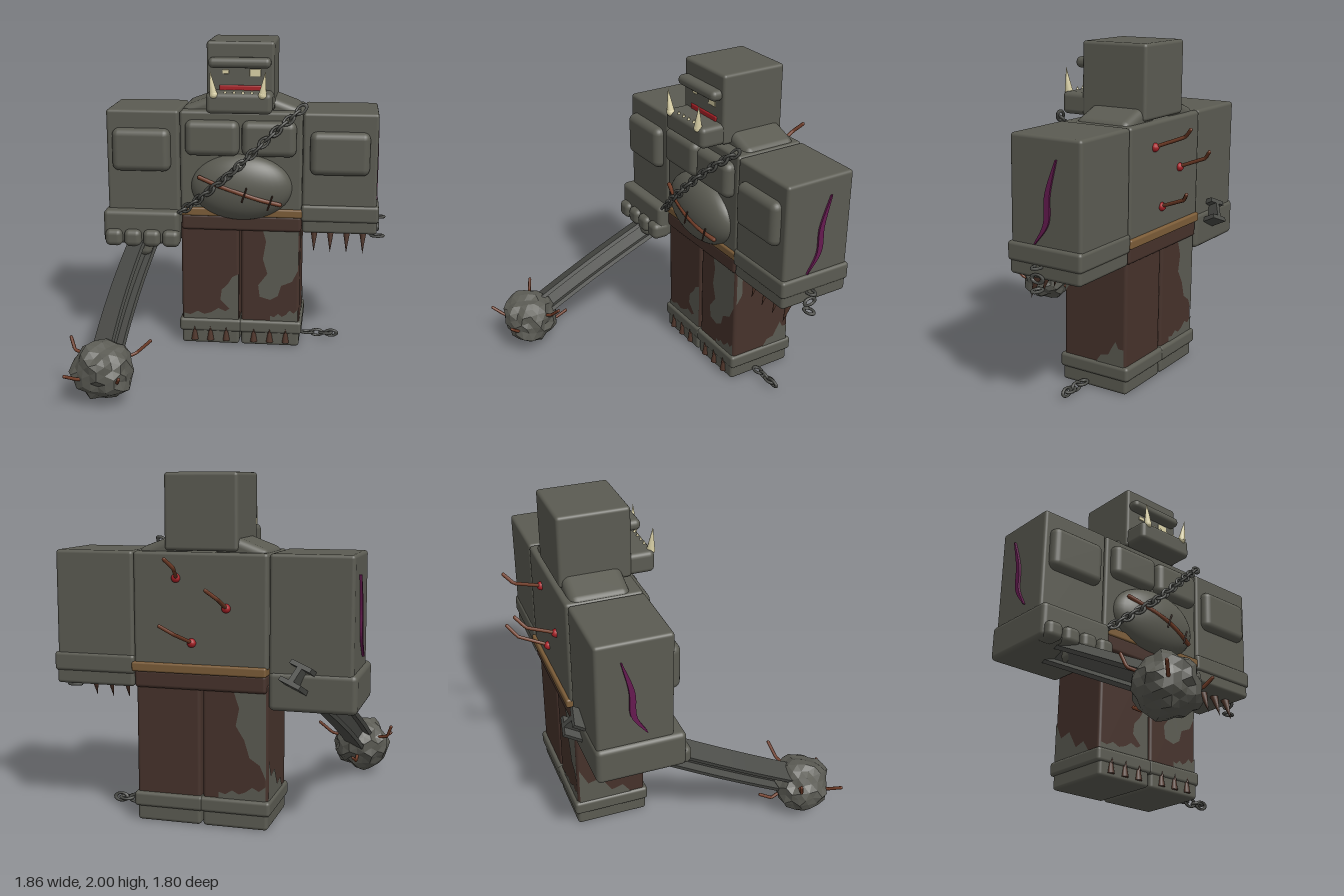
import * as THREE from 'three';
import { RoundedBoxGeometry } from 'three/addons/geometries/RoundedBoxGeometry.js';

const mat = (name, color, side = THREE.FrontSide) => {
  const m = new THREE.MeshStandardMaterial({ color, side });
  m.name = name;
  return m;
};

export function createModel() {
  const root = new THREE.Group();
  root.name = 'brute';
  const skin = mat('grey skin', 0x5b5b52), trousers = mat('dark brown cloth', 0x46322b);
  const rust = mat('rusty iron', 0x6f3b26), gold = mat('tan leather', 0x7b5c38);
  const purple = mat('purple scar', 0x651a50), red = mat('red flesh', 0xa82026);
  const bone = mat('bone', 0xd9d0a6), iron = mat('dark iron', 0x4b4c48);
  const claw = mat('claw brown', 0x4d3328), stone = mat('stone', 0x5a5a53);

  const V = (x, y, z) => new THREE.Vector3(x, y, z);
  const add = (name, geo, m, pos = [0, 0, 0], rot = [0, 0, 0], parent = root) => {
    const mesh = new THREE.Mesh(geo, m);
    mesh.name = name;
    mesh.position.set(...pos);
    mesh.rotation.set(...rot);
    parent.add(mesh);
    return mesh;
  };
  // rounded box given by its extents
  const box = (name, m, x0, x1, y0, y1, z0, z1, r = 0.02) =>
    add(name, new RoundedBoxGeometry(x1 - x0, y1 - y0, z1 - z0, 3, r), m,
      [(x0 + x1) / 2, (y0 + y1) / 2, (z0 + z1) / 2]);
  // bent rod through points
  const rod = (name, pts, r, m = rust) => {
    const path = new THREE.CurvePath();
    for (let i = 1; i < pts.length; i++) path.add(new THREE.LineCurve3(V(...pts[i - 1]), V(...pts[i])));
    add(name, new THREE.TubeGeometry(path, 12, r, 8), m);
    for (const p of [pts[0], pts[pts.length - 1]]) add(name + 'End', new THREE.SphereGeometry(r, 8, 6), m, p);
  };
  // cone from base to tip
  const spike = (name, m, base, tip, r) => {
    const a = V(...base), b = V(...tip), d = b.clone().sub(a);
    const s = add(name, new THREE.ConeGeometry(r, d.length(), 10), m, a.clone().add(b).multiplyScalar(0.5).toArray());
    s.quaternion.setFromUnitVectors(V(0, 1, 0), d.normalize());
  };
  // thin flat patch, drawn in its own plane
  const patch = (name, m, pts, pos, turn = 0) =>
    add(name, new THREE.ShapeGeometry(new THREE.Shape(pts.map(p => new THREE.Vector2(...p)))), m, pos, [0, turn, 0]);
  // oval chain link, long along its local x
  const linkGeo = new THREE.TorusGeometry(0.026, 0.009, 7, 14).scale(1.45, 0.9, 1);

  // head
  box('head', skin, -0.21, 0.215, 1.57, 2.0, -0.645, -0.22);
  box('brow', skin, -0.195, 0.195, 1.84, 1.905, -0.24, -0.155, 0.03);
  box('jaw', skin, -0.2, 0.21, 1.57, 1.7, -0.3, -0.075, 0.03);
  box('mouth', red, -0.13, 0.145, 1.685, 1.73, -0.24, -0.212, 0.008);
  box('rightEye', bone, -0.11, -0.07, 1.8, 1.825, -0.23, -0.213, 0.004);
  box('leftEye', bone, 0.06, 0.13, 1.785, 1.832, -0.23, -0.213, 0.004);
  for (const s of [-1, 1]) {
    add('tuskRoot', new THREE.SphereGeometry(0.026, 12, 8), bone, [s * 0.15, 1.69, -0.085]);
    spike('tusk', bone, [s * 0.15, 1.685, -0.085], [s * 0.17, 1.84, -0.078], 0.026);
  }
  for (const x of [-0.08, -0.025, 0.03, 0.085]) spike('tooth', bone, [x, 1.69, -0.1], [x, 1.72, -0.1], 0.013);

  // torso
  box('torso', skin, -0.385, 0.395, 0.92, 1.565, -0.665, -0.21);
  for (const s of [-1, 1]) {
    add('shoulderMuscle', new RoundedBoxGeometry(0.3, 0.14, 0.35, 3, 0.045), skin,
      [s * 0.225, 1.56, -0.455], [0, 0, -s * 0.36]);
    const c = s * 0.18 + 0.005;
    box('chestMuscle', skin, c - 0.172, c + 0.172, 1.285, 1.51, -0.26, -0.15, 0.045);
  }
  add('belly', new THREE.SphereGeometry(1, 36, 24).scale(0.325, 0.215, 0.13), skin, [0.01, 1.08, -0.22]);
  box('belt', gold, -0.38, 0.405, 0.885, 0.94, -0.685, -0.195, 0.012);
  box('waistband', trousers, -0.378, 0.395, 0.79, 0.895, -0.665, -0.2);

  // belly wound with stitches
  rod('bellyWound', [[-0.25, 1.155, -0.135], [-0.12, 1.108, -0.103], [0.02, 1.065, -0.09], [0.15, 1.02, -0.106], [0.26, 0.987, -0.14]], 0.014);
  for (const [x, y, z] of [[0.04, 1.06, -0.077], [0.2, 1.005, -0.105]])
    rod('stitch', [[x - 0.015, y - 0.045, z], [x + 0.015, y + 0.045, z]], 0.005, claw);

  // chain across the chest
  const sash = new THREE.CatmullRomCurve3([V(0.385, 1.59, -0.19), V(0.2, 1.43, -0.125),
    V(-0.02, 1.22, -0.085), V(-0.2, 1.06, -0.115), V(-0.375, 0.915, -0.18)]);
  for (let i = 0; i <= 20; i++) {
    const l = add('chainLink', linkGeo, iron, sash.getPointAt(i / 20).toArray());
    l.quaternion.setFromUnitVectors(V(1, 0, 0), sash.getTangentAt(i / 20));
    l.rotateX(i % 2 ? 1.15 : -0.35);
  }

  // nails in the back
  for (const [x, y, x1, x2] of [[0.14, 1.42, 0.095, 0.13], [-0.15, 1.26, -0.15, -0.1], [0.05, 1.06, 0.095, 0.16]]) {
    rod('backNail', [[x, y, -0.66], [x1, y + 0.07, -0.835], [x2, y + 0.12, -0.885]], 0.011);
    add('woundSpot', new THREE.SphereGeometry(0.026, 12, 8), red, [x, y, -0.667]);
  }

  // arms
  box('leftArm', skin, 0.397, 0.867, 0.9, 1.565, -0.665, -0.205);
  box('leftCuff', skin, 0.393, 0.885, 0.865, 0.975, -0.675, -0.19);
  box('leftHand', skin, 0.4, 0.875, 0.79, 0.885, -0.665, -0.2);
  box('rightArm', skin, -0.857, -0.39, 0.78, 1.565, -0.655, -0.21);
  box('rightFist', skin, -0.88, -0.387, 0.7, 0.92, -0.665, -0.14, 0.03);
  box('rightThumb', skin, -0.67, -0.57, 0.62, 0.74, -0.26, -0.14, 0.04);
  for (let i = 0; i < 4; i++) {
    const x = -0.81 + i * 0.124, c = 0.475 + i * 0.105;
    box('finger', skin, x - 0.056, x + 0.056, 0.69, 0.8, -0.23, -0.1, 0.035);
    spike('handClaw', claw, [c, 0.8, -0.335], [c, 0.64, -0.28], 0.029);
  }
  for (const s of [-1, 1]) {
    const c = s * 0.63;
    box('armPlate', skin, c - 0.187, c + 0.187, 1.175, 1.45, -0.27, -0.152, 0.045);
    // wavy tapered scar on the outer arm
    const line = new THREE.CatmullRomCurve3([V(-0.37, 0.98, 0), V(-0.445, 1.1, 0), V(-0.455, 1.26, 0), V(-0.51, 1.45, 0)]).getPoints(20);
    const side = k => line.map((p, i) => new THREE.Vector2(-s * (p.x + k * (0.004 + 0.014 * Math.sin(Math.PI * i / 20))), p.y));
    const shape = new THREE.Shape([...side(1), ...side(-1).reverse()]);
    const scar = new THREE.ExtrudeGeometry(shape, { depth: 0.016, bevelEnabled: false });
    add('armScar', scar, purple, [s > 0 ? 0.862 : -0.855, 0, 0], [0, s * Math.PI / 2, 0]);
  }

  // legs, ankle bands and feet
  for (const [n, a, b] of [['right', -0.385, -0.005], ['left', 0.008, 0.39]]) {
    box(n + 'Leg', trousers, a, b, 0.1, 0.84, -0.645, -0.22);
    box(n + 'AnkleBand', skin, a - 0.016, b + 0.016, 0.088, 0.175, -0.667, -0.2);
    box(n + 'Foot', skin, a, b, 0.003, 0.13, -0.65, -0.208);
    for (const t of [0.085, 0.19, 0.295]) {
      add('toeClaw', new THREE.CylinderGeometry(0.012, 0.024, 0.065, 10), claw, [a + t, 0.062, -0.208]);
      spike('toeClawTip', claw, [a + t, 0.09, -0.199], [a + t, 0.125, -0.197], 0.009);
    }
  }

  // torn holes in the trousers
  const F = -0.216, B = -0.649;
  const hem = (x0, x1) => {
    const top = [0.21, 0.2, 0.225, 0.205, 0.22, 0.25, 0.23, 0.26];
    return [[x0, 0.16], [x1, 0.16], ...top.map((y, i) => [x0 + (x1 - x0) * i / 7, y]).reverse()];
  };
  patch('rightKneeHole', skin, [[-0.01, 0.16], [-0.01, 0.49], [-0.05, 0.47], [-0.08, 0.42], [-0.12, 0.38], [-0.13, 0.31], [-0.08, 0.26], [-0.05, 0.23], [-0.05, 0.16]], [0, 0, F]);
  patch('leftThighHole', skin, [[0.15, 0.79], [0.17, 0.72], [0.15, 0.6], [0.18, 0.5], [0.12, 0.42], [0.13, 0.34], [0.2, 0.32], [0.25, 0.35], [0.27, 0.42], [0.34, 0.45], [0.38, 0.53], [0.38, 0.79]], [0, 0, F]);
  patch('rightTornHem', skin, hem(-0.375, -0.05), [0, 0, F]);
  patch('leftTornHem', skin, hem(0.2, 0.38), [0, 0, F]);
  patch('leftSideHole', skin, [[0.23, 0.56], [0.27, 0.62], [0.27, 0.72], [0.3, 0.79], [0.23, 0.79]], [0.394, 0, 0], Math.PI / 2);
  patch('leftSideHem', skin, [[0.44, 0.16], [0.635, 0.16], [0.635, 0.28], [0.6, 0.28], [0.58, 0.32], [0.55, 0.27], [0.53, 0.23], [0.48, 0.22]], [0.394, 0, 0], Math.PI / 2);
  patch('rightBackHole', skin, [[0.19, 0.79], [0.22, 0.7], [0.2, 0.6], [0.25, 0.52], [0.28, 0.42], [0.34, 0.38], [0.375, 0.3], [0.375, 0.79]], [0, 0, B], Math.PI);
  patch('rightBackHem', skin, hem(0.1, 0.375), [0, 0, B], Math.PI);
  patch('rightSideHem', skin, [[-0.635, 0.16], [-0.3, 0.16], [-0.36, 0.24], [-0.43, 0.22], [-0.5, 0.33], [-0.58, 0.31], [-0.635, 0.42]], [-0.389, 0, 0], -Math.PI / 2);

  // broken chains at the wrist and ankle
  for (const [x, y, rx, rz] of [[0.885, 0.86, Math.PI / 2, 0], [0.885, 0.795, 0, Math.PI / 2], [0.885, 0.73, Math.PI / 2, 0]])
    add('wristLink', linkGeo, iron, [x, y, -0.395], [rx, rz ? Math.PI / 2 : 0, 0]);
  for (const [x, r] of [[0.44, 1.5], [0.505, 0.2], [0.565, 1.4], [0.6, 0.2]])
    add('ankleLink', linkGeo, iron, [x, 0.038, -0.385], [r, 0, 0]);

  // club: bent girder
  const h = 0.066, w = 0.016, f = 0.04;
  const section = new THREE.Shape([[-h, -h], [h, -h], [h, -f], [w, -f], [w, f], [h, f], [h, h], [-h, h], [-h, f], [-w, f], [-w, -f], [-h, -f]]
    .map(p => new THREE.Vector2(...p)));
  const beam = new THREE.ExtrudeGeometry(section, { depth: 1.5, steps: 16, bevelEnabled: false });
  beam.translate(0, 0, -0.75).rotateZ(0.4).rotateX(0.467).translate(0, 0.59, -0.06);
  const bp = beam.attributes.position;
  for (let i = 0; i < bp.count; i++)
    bp.setX(i, bp.getX(i) - 0.7 + 0.14 * ((0.62 - bp.getZ(i)) / 1.32) ** 2);
  beam.computeVertexNormals();
  add('clubGirder', beam, iron);

  // club: faceted stone head
  const rock = new THREE.IcosahedronGeometry(1, 3), rp = rock.attributes.position;
  const hash = (x, y, z) => {
    const n = Math.sin(Math.round(x * 99) * 12.99 + Math.round(y * 99) * 78.23 + Math.round(z * 99) * 37.72) * 43758.5;
    return n - Math.floor(n);
  };
  for (let i = 0; i < rp.count; i++) {
    const p = V(0, 0, 0).fromBufferAttribute(rp, i);
    const k = 0.155 + 0.03 * hash(p.x, p.y, p.z) + 0.008 * Math.sin(5 * p.x + 4 * p.y);
    rp.setXYZ(i, p.x * k * 1.05, p.y * k, p.z * k);
  }
  rock.computeVertexNormals();
  add('clubStone', rock, stone, [-0.7, 0.2, 0.7]);

  // club: bent nails
  for (const pts of [
    [[-0.78, 0.25, 0.65], [-0.89, 0.275, 0.61], [-0.915, 0.345, 0.59]],
    [[-0.62, 0.24, 0.67], [-0.52, 0.275, 0.62], [-0.44, 0.345, 0.6]],
    [[-0.77, 0.18, 0.78], [-0.82, 0.19, 0.835], [-0.88, 0.23, 0.89]],
    [[-0.64, 0.18, 0.77], [-0.59, 0.18, 0.835], [-0.57, 0.225, 0.885]],
    [[-0.7, 0.17, 0.6], [-0.7, 0.12, 0.51], [-0.69, 0.16, 0.435]],
  ]) rod('clubNail', pts, 0.01);

  return root;
}
